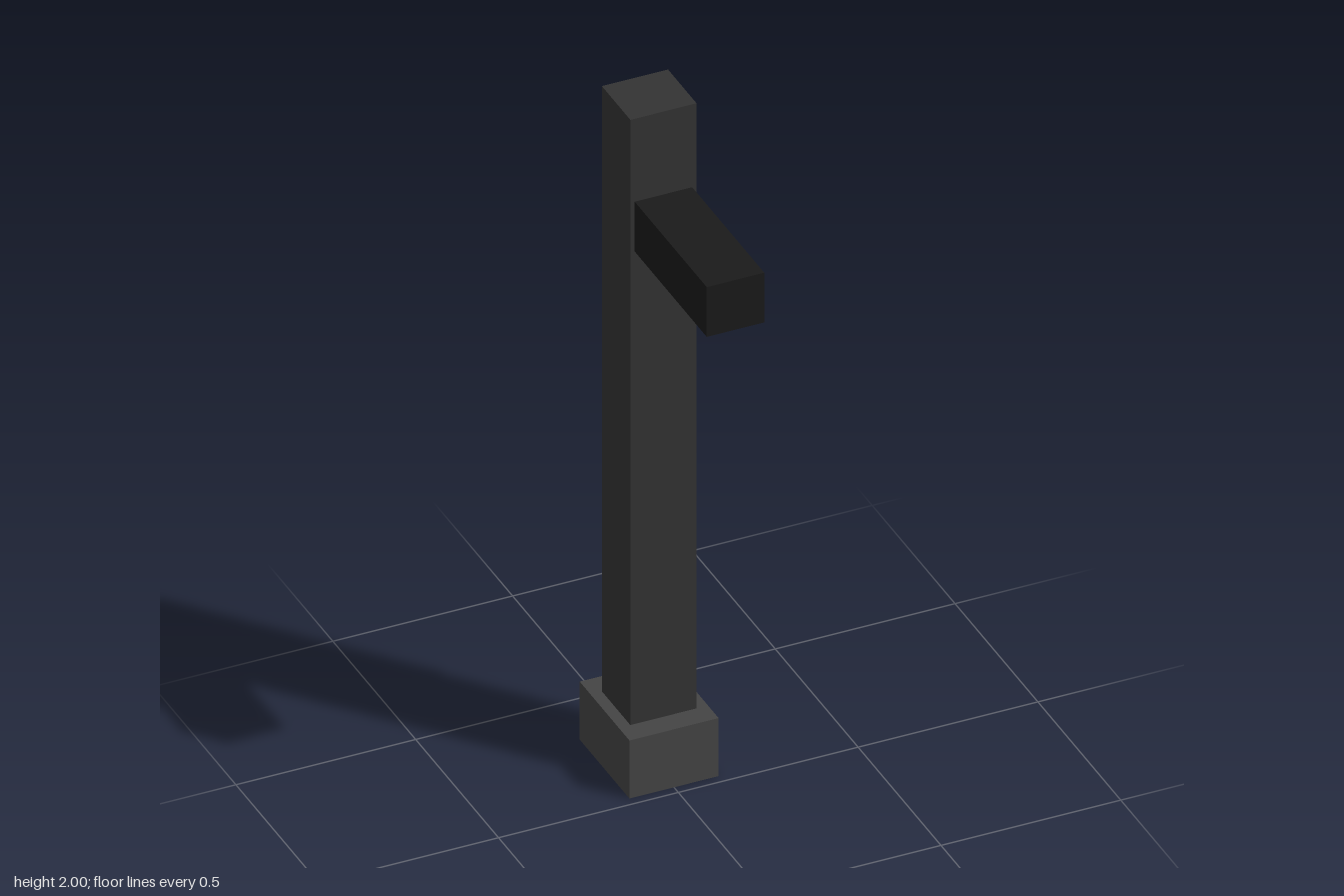
import * as THREE from 'three';

const mat = (color) => new THREE.MeshStandardMaterial({ color, flatShading: true });

// Box given by its extents on each axis
function block(name, color, [x0, x1], [y0, y1], [z0, z1]) {
  const mesh = new THREE.Mesh(new THREE.BoxGeometry(x1 - x0, y1 - y0, z1 - z0), mat(color));
  mesh.position.set((x0 + x1) / 2, (y0 + y1) / 2, (z0 + z1) / 2);
  mesh.name = name;
  return mesh;
}

// Rectangular outline centred on the origin
function rectangle(w, h, PathType) {
  return new PathType([
    new THREE.Vector2(-w / 2, -h / 2),
    new THREE.Vector2(w / 2, -h / 2),
    new THREE.Vector2(w / 2, h / 2),
    new THREE.Vector2(-w / 2, h / 2),
  ]);
}

export function createModel() {
  const model = new THREE.Group();
  model.name = 'postWithArm';

  // Collar at the foot, with a rectangular socket open to below
  const outline = rectangle(0.248, 0.3, THREE.Shape);
  outline.holes.push(rectangle(0.12, 0.145, THREE.Path));
  const collarGeometry = new THREE.ExtrudeGeometry(outline, { depth: 0.175, bevelEnabled: false });
  collarGeometry.rotateX(-Math.PI / 2);
  const collar = new THREE.Mesh(collarGeometry, mat(0x444444));
  collar.position.z = -0.176;
  collar.name = 'baseCollar';
  model.add(collar);

  // Upright, forward arm and rear strip
  model.add(
    block('post', 0x333333, [-0.092, 0.092], [0.174, 2], [-0.262, -0.09]),
    block('arm', 0x1a1a1a, [-0.08, 0.08], [1.6, 1.75], [-0.09, 0.345]),
    block('backStrip', 0x443030, [-0.034, 0.034], [0.645, 1.885], [-0.345, -0.262]),
  );

  return model;
}
